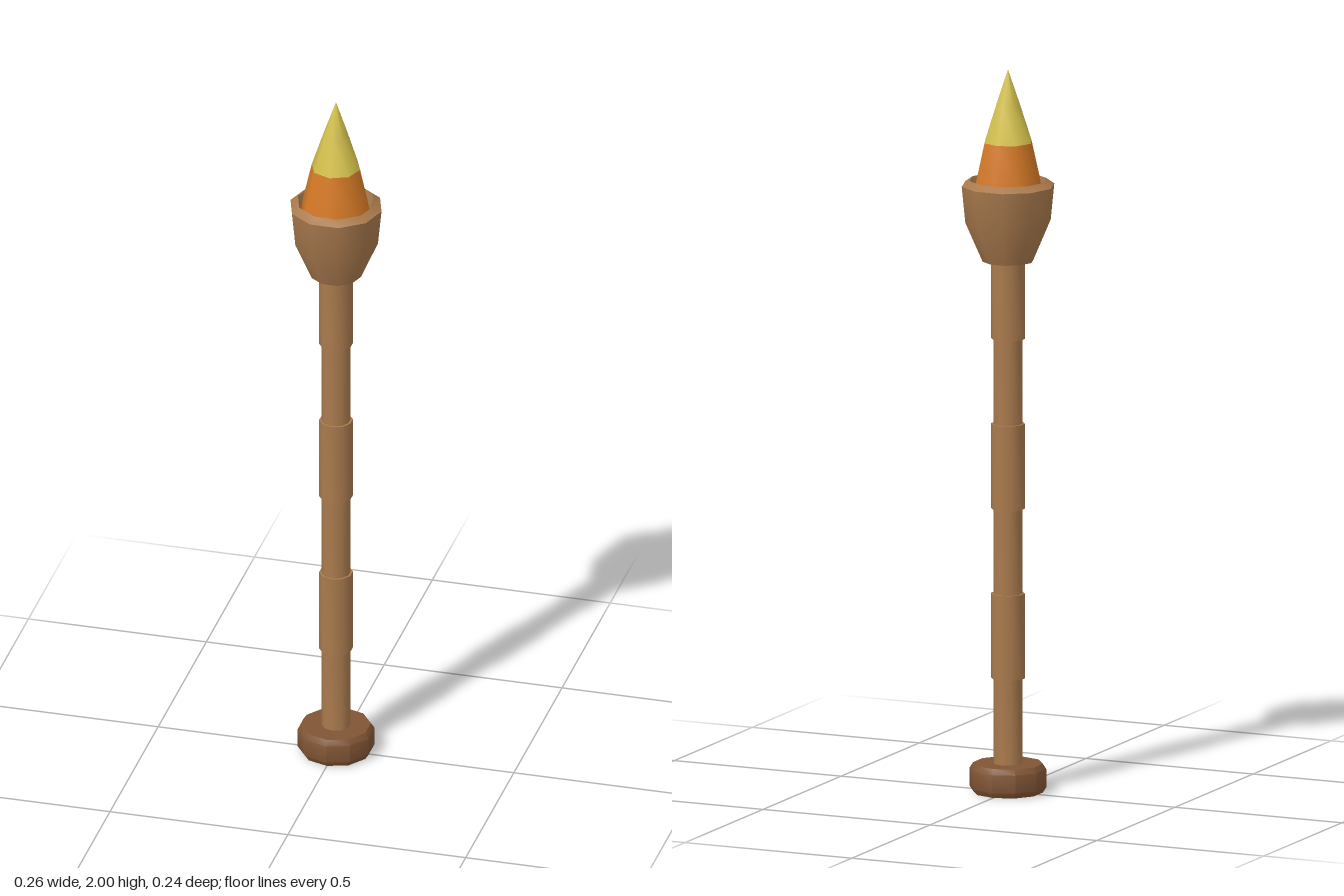
import * as THREE from 'three';
import { toCreasedNormals } from 'three/addons/utils/BufferGeometryUtils.js';

const paint = (name, color) => {
  const m = new THREE.MeshStandardMaterial({ color });
  m.name = name;
  return m;
};

export function createModel() {
  const group = new THREE.Group();
  const wood = paint('wood', 0xa97a4d);
  const darkWood = paint('dark wood', 0x805534);
  const orange = paint('flame orange', 0xd67a26);
  const yellow = paint('flame yellow', 0xd4c04c);

  // Turned part from [radius, height] pairs, listed from bottom to top
  function turn(name, profile, sides, material, angle = 0, crease = 0.7) {
    const points = profile.map(([r, y]) => new THREE.Vector2(r, y));
    const geometry = toCreasedNormals(new THREE.LatheGeometry(points, sides), crease);
    const mesh = new THREE.Mesh(geometry, material);
    mesh.name = name;
    mesh.rotation.y = angle;
    group.add(mesh);
  }

  // Bevelled foot
  turn('foot', [[0, 0], [0.095, 0], [0.105, 0.015], [0.105, 0.065], [0.095, 0.08], [0, 0.08]], 10, darkWood);

  // Shaft with alternating thin and thick sections
  const shaft = [];
  const steps = [0.07, 0.315, 0.55, 0.785, 1.02, 1.255, 1.49];
  for (let i = 0; i < 6; i++) {
    const r = i % 2 ? 0.046 : 0.04;
    shaft.push([r, steps[i]], [r, steps[i + 1]]);
  }
  turn('shaft', shaft, 10, wood);

  // Hollow cup with a bevelled rim
  turn('cup', [
    [0, 1.47], [0.07, 1.47], [0.118, 1.58], [0.128, 1.68],
    [0.107, 1.695], [0.092, 1.645], [0, 1.645],
  ], 10, wood, Math.PI / 2);

  // Flame in two colours
  turn('flameBase', [[0.099, 1.645], [0.093, 1.69], [0.068, 1.8]], 8, orange, 0, 0.9);
  turn('flameTip', [[0.068, 1.8], [0.035, 1.9], [0, 2]], 8, yellow, 0, 0.9);

  return group;
}
